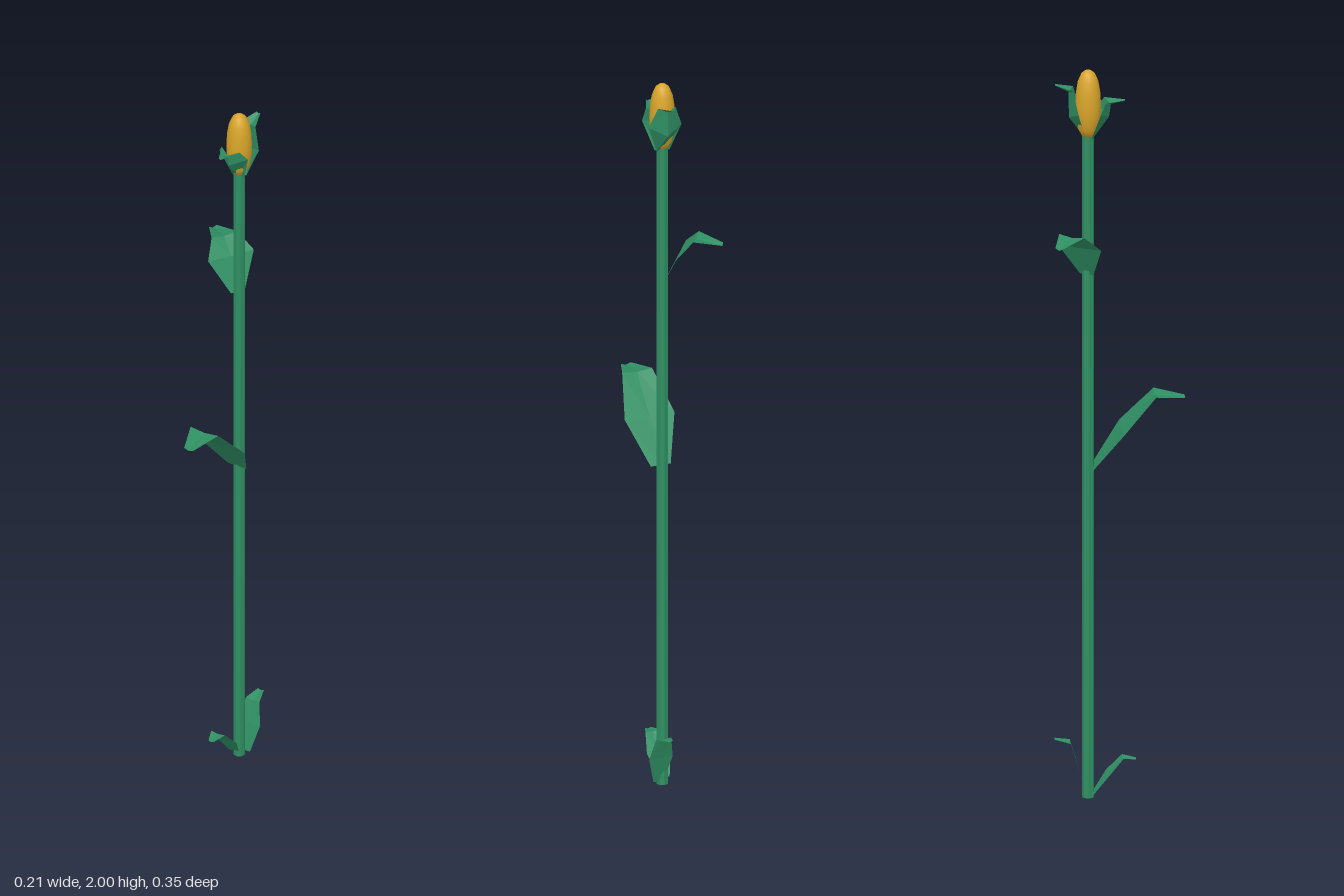
import * as THREE from 'three';

const STEM_X = 0.033, STEM_Z = -0.08;

// A folded blade growing along +z. Each section is
// [distance out, height, half width, edge inset, edge lift].
function leafGeometry(sections) {
  const rows = sections.map(([out, y, half, inset = 0, lift = 0]) => [
    [-half, y + lift, out - inset],
    [0, y, out],
    [half, y + lift, out - inset],
  ]);
  const pos = [];
  for (let i = 0; i < rows.length - 1; i++) {
    for (let j = 0; j < 2; j++) {
      const a = rows[i][j], b = rows[i][j + 1];
      const c = rows[i + 1][j + 1], d = rows[i + 1][j];
      pos.push(...a, ...b, ...c, ...a, ...c, ...d);
    }
  }
  const geo = new THREE.BufferGeometry();
  geo.setAttribute('position', new THREE.Float32BufferAttribute(pos, 3));
  geo.computeVertexNormals();
  return geo;
}

export function createModel() {
  const group = new THREE.Group();

  const leafGreen = new THREE.MeshStandardMaterial({ color: 0x2f8f63, side: THREE.DoubleSide, flatShading: true });
  leafGreen.name = 'leaf green';
  const cobYellow = new THREE.MeshStandardMaterial({ color: 0xd9a52a });
  cobYellow.name = 'cob yellow';

  function add(name, geo, mat, x, y, z, turn = 0) {
    const mesh = new THREE.Mesh(geo, mat);
    mesh.name = name;
    mesh.position.set(x, y, z);
    mesh.rotation.y = turn;
    group.add(mesh);
  }

  // Stem
  add('stem', new THREE.CylinderGeometry(0.016, 0.016, 1.83, 8), leafGreen, STEM_X, 0.915, STEM_Z);

  // Cob: long rounded body
  const profile = [
    [0, 1.815], [0.016, 1.82], [0.027, 1.84], [0.033, 1.875], [0.034, 1.905],
    [0.032, 1.94], [0.027, 1.97], [0.018, 1.991], [0.008, 1.999], [0, 2],
  ].map(([r, y]) => new THREE.Vector2(r, y));
  add('cob', new THREE.LatheGeometry(profile, 16), cobYellow, STEM_X, 0, STEM_Z);

  // Leaves: name, x offset, turn about the stem, sections
  const leaves = [
    ['middleLeaf', 0, 0, [
      [0.01, 0.905, 0.028], [0.088, 1.01, 0.07, 0, 0.003],
      [0.175, 1.102, 0.042, 0, 0.005], [0.254, 1.09, 0.014, 0, 0.005]]],
    ['upperLeaf', 0, Math.atan2(-0.84, -0.55), [
      [0.008, 1.44, 0.02], [0.05, 1.525, 0.066, 0, 0.003],
      [0.09, 1.565, 0.037, 0, 0.005], [0.16, 1.55, 0.011, 0, 0.005]]],
    ['frontBaseLeaf', -0.01, 0, [
      [0.01, 0.01, 0.015], [0.05, 0.065, 0.033, 0, 0.002],
      [0.09, 0.108, 0.021, 0, 0.003], [0.125, 0.102, 0.008, 0, 0.003]]],
    ['rearBaseLeaf', 0.014, Math.PI, [
      [0.008, 0.01, 0.014], [0.026, 0.085, 0.033],
      [0.045, 0.145, 0.021, 0, 0.003], [0.086, 0.154, 0.009, 0, 0.003]]],
    ['frontHusk', 0.001, 0, [
      [0.006, 1.81, 0.018], [0.055, 1.87, 0.044, 0.025, 0.02],
      [0.06, 1.905, 0.027, 0.015, 0.01], [0.097, 1.912, 0.005, 0, 0.003]]],
    ['rearHusk', 0, Math.PI - 0.08, [
      [0.006, 1.812, 0.018], [0.05, 1.87, 0.045, 0.025, 0.02],
      [0.051, 1.94, 0.024, 0.012, 0.008], [0.086, 1.957, 0.006, 0, 0.003]]],
  ];
  for (const [name, dx, turn, sections] of leaves) {
    add(name, leafGeometry(sections), leafGreen, STEM_X + dx, 0, STEM_Z, turn);
  }

  return group;
}
